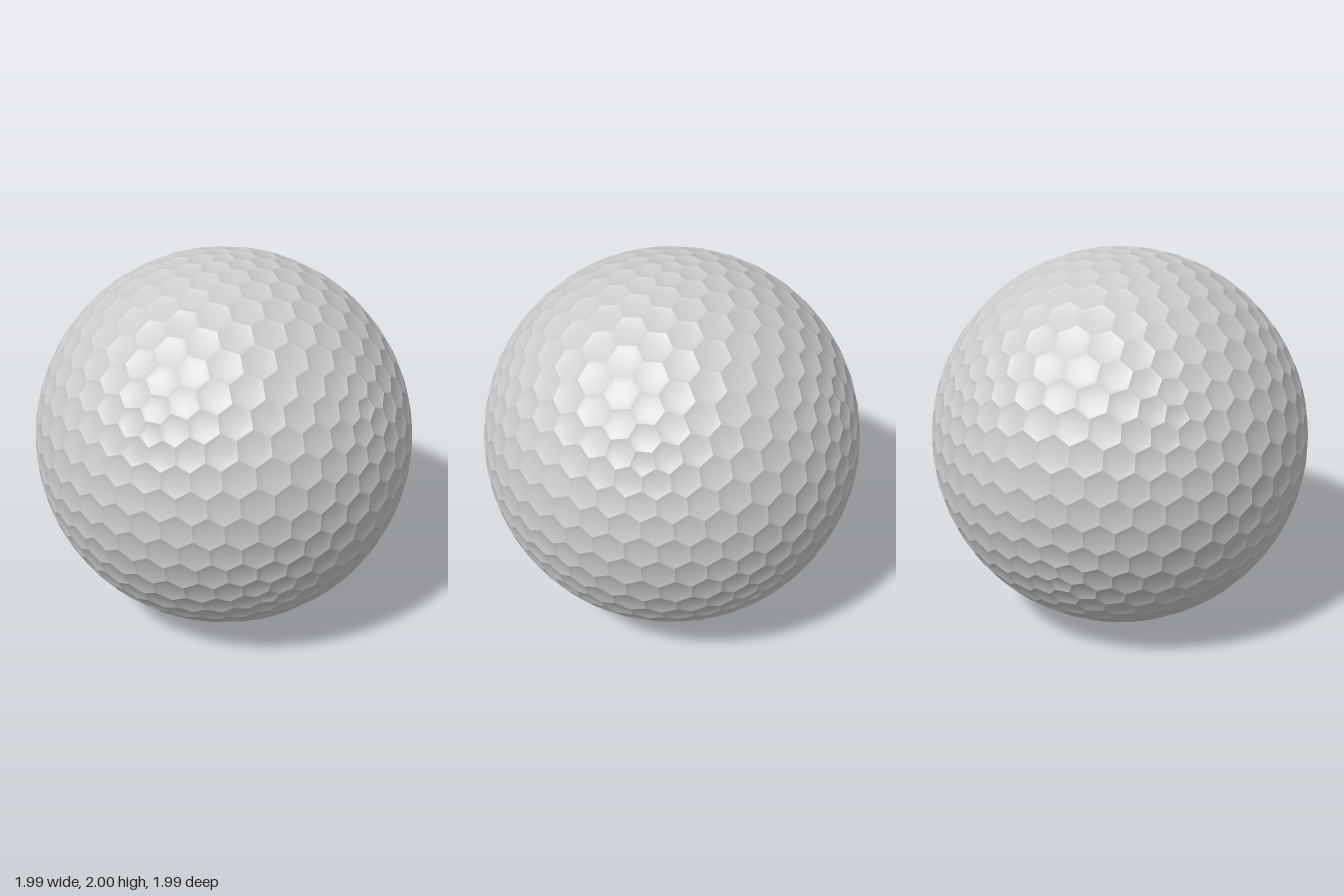
import * as THREE from 'three';

const FREQ = 8; // subdivisions along each icosahedron edge

// Icosahedron with one corner at each pole
function icosahedron() {
  const h = 1 / Math.sqrt(5), r = 2 * h;
  const ring = (y, offset) => Array.from({ length: 5 }, (_, k) => {
    const a = (k * 72 + offset) * Math.PI / 180;
    return new THREE.Vector3(r * Math.cos(a), y, r * Math.sin(a));
  });
  const top = new THREE.Vector3(0, 1, 0), bottom = new THREE.Vector3(0, -1, 0);
  const up = ring(h, 0), low = ring(-h, 36);
  const faces = [];
  for (let k = 0; k < 5; k++) {
    const n = (k + 1) % 5;
    faces.push([top, up[k], up[n]], [up[k], up[n], low[k]], [low[k], low[n], up[n]], [bottom, low[k], low[n]]);
  }
  return faces;
}

// Cell centres of the geodesic sphere, each with the corners around it
function buildCells() {
  const cells = new Map();
  const cellAt = (p) => {
    const key = p.toArray().map((n) => Math.round(n * 1e4) + 0).join();
    if (!cells.has(key)) cells.set(key, { centre: p, corners: [] });
    return cells.get(key);
  };
  for (const [a, b, c] of icosahedron()) {
    const point = (i, j) => new THREE.Vector3()
      .addScaledVector(a, FREQ - i - j).addScaledVector(b, i).addScaledVector(c, j).normalize();
    const addTriangle = (...points) => {
      const mid = new THREE.Vector3();
      points.forEach((p) => mid.add(p));
      mid.normalize();
      points.forEach((p) => cellAt(p).corners.push(mid));
    };
    for (let i = 0; i < FREQ; i++) {
      for (let j = 0; j < FREQ - i; j++) {
        addTriangle(point(i, j), point(i + 1, j), point(i, j + 1));
        if (i + j < FREQ - 1) addTriangle(point(i + 1, j), point(i + 1, j + 1), point(i, j + 1));
      }
    }
  }
  return [...cells.values()];
}

// Shallow dimples meeting in sharp ridges: vertices are shared only inside a cell
function dimpledSphere() {
  const positions = [], index = [];
  for (const { centre, corners } of buildCells()) {
    const u = corners[0].clone().addScaledVector(centre, -corners[0].dot(centre)).normalize();
    const v = centre.clone().cross(u);
    const angle = (p) => Math.atan2(p.dot(v), p.dot(u));
    corners.sort((p, q) => angle(p) - angle(q));

    const start = positions.length / 3, n = corners.length;
    const add = (p, radius) => positions.push(...p.clone().setLength(radius).toArray());
    add(centre, 0.989);
    corners.forEach((p) => add(centre.clone().lerp(p, 0.65), 0.9905));
    corners.forEach((p) => add(p, 1));
    for (let k = 0; k < n; k++) {
      const i0 = start + 1 + k, i1 = start + 1 + (k + 1) % n;
      index.push(start, i0, i1, i0, i0 + n, i1 + n, i0, i1 + n, i1);
    }
  }
  const geometry = new THREE.BufferGeometry();
  geometry.setAttribute('position', new THREE.Float32BufferAttribute(positions, 3));
  geometry.setIndex(index);
  geometry.computeVertexNormals();
  return geometry;
}

export function createModel() {
  const group = new THREE.Group();
  group.name = 'golfBall';
  const ball = new THREE.Mesh(dimpledSphere(), new THREE.MeshStandardMaterial({ color: 0xcccccc }));
  ball.name = 'dimpledShell';
  ball.position.y = 1;
  group.add(ball);
  return group;
}
